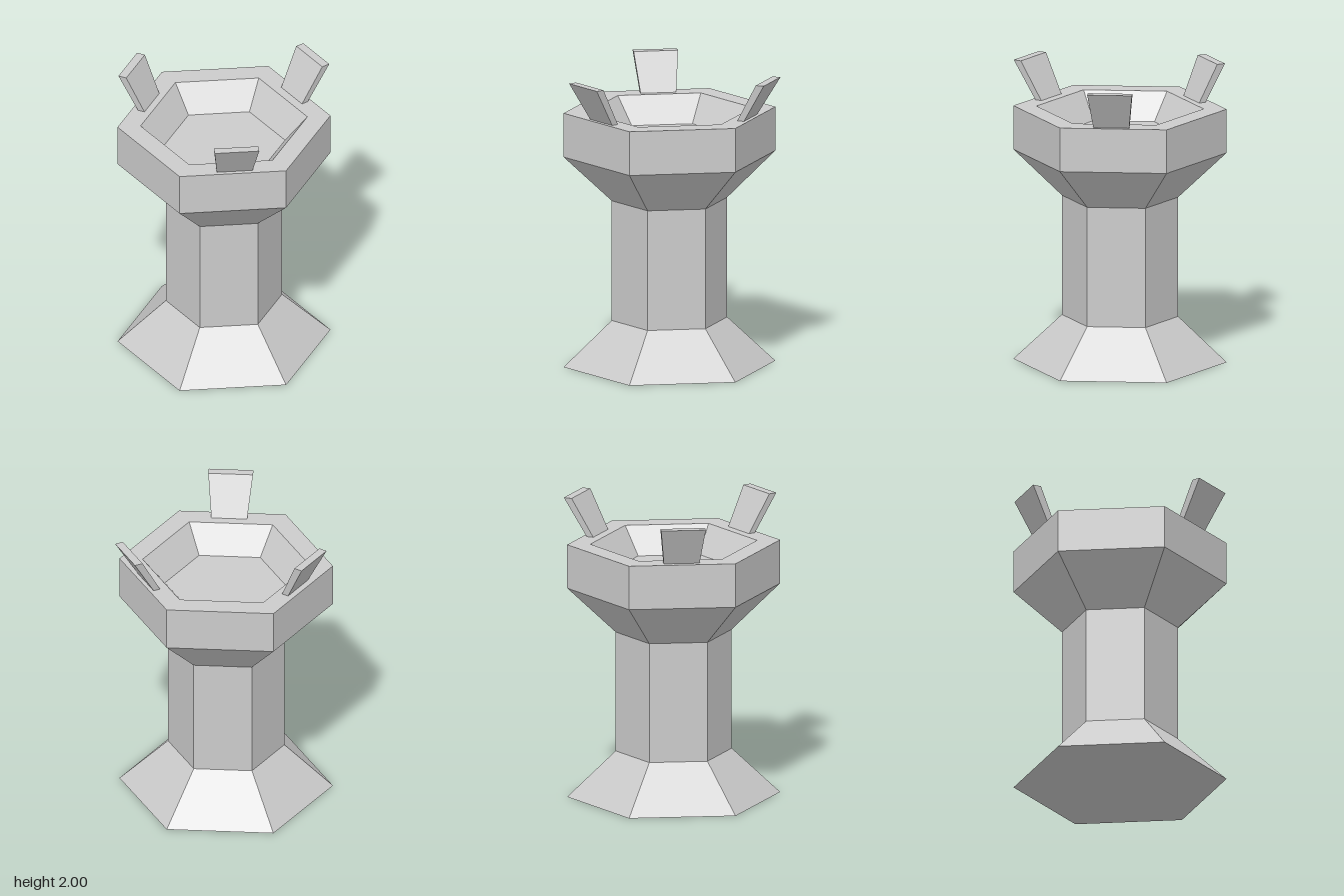
import * as THREE from 'three';

const CENTER_X = 0.04;
const material = new THREE.MeshStandardMaterial({ color: 0xcccccc, flatShading: true });

// Six-sided ring of surfaces from [radius, height] pairs, listed from the bottom up the outside
function hexPart(name, profile) {
  const points = profile.map(([r, y]) => new THREE.Vector2(r, y));
  const mesh = new THREE.Mesh(new THREE.LatheGeometry(points, 6), material);
  mesh.name = name;
  mesh.position.x = CENTER_X;
  return mesh;
}

// Slab standing on the rim, leaning outward and widening toward its top
function prong(name, angle, pivotX, bottomInner, topInner) {
  const geometry = new THREE.BoxGeometry(1, 1, 1);
  const pos = geometry.attributes.position;
  for (let i = 0; i < pos.count; i++) {
    const top = pos.getY(i) > 0;
    const outer = pos.getX(i) > 0;
    const radius = (top ? topInner : bottomInner) + (outer ? (top ? 0.057 : 0.048) : 0);
    const halfWidth = top ? 0.15 : 0.12;
    pos.setXYZ(i, radius, top ? 2 : 1.74, Math.sign(pos.getZ(i)) * halfWidth);
  }
  geometry.computeVertexNormals();
  const mesh = new THREE.Mesh(geometry, material);
  mesh.name = name;
  mesh.position.x = pivotX;
  mesh.rotation.y = angle;
  return mesh;
}

export function createModel() {
  const model = new THREE.Group();
  model.name = 'brazier';

  // Pedestal
  model.add(hexPart('base', [[0, 0], [0.715, 0], [0.39, 0.31]]));
  model.add(hexPart('column', [[0.39, 0.31], [0.39, 1.13]]));

  // Flared bowl with a flat rim and a sunken floor
  model.add(hexPart('bowl', [
    [0.39, 1.13], [0.715, 1.44], [0.715, 1.74], [0.56, 1.74], [0.41, 1.56], [0, 1.56],
  ]));

  // Three prongs on alternate sides of the rim
  model.add(prong('rightProng', Math.PI, CENTER_X, 0.53, 0.65));
  model.add(prong('backLeftProng', Math.PI / 3, 0.058, 0.535, 0.68));
  model.add(prong('frontLeftProng', -Math.PI / 3, 0.058, 0.535, 0.68));

  return model;
}
